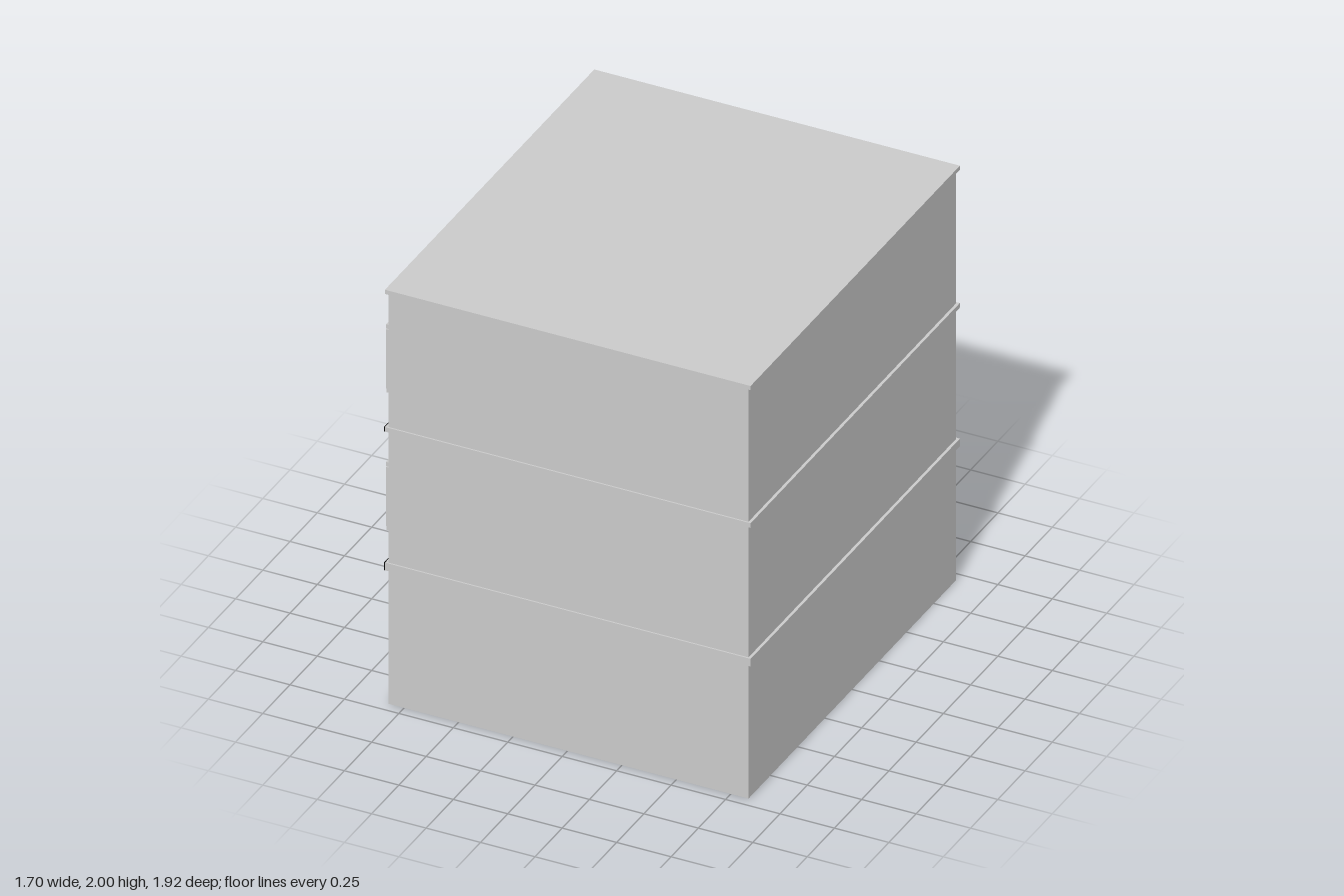
import * as THREE from 'three';

const mat = (name, color) => {
  const m = new THREE.MeshStandardMaterial({ color });
  m.name = name;
  return m;
};

export function createModel() {
  const concrete = mat('concrete', 0xcbcbcb);
  const glass = mat('darkGlass', 0x0a0a0a);
  const wood = mat('wood', 0x77451e);
  const white = mat('interiorWhite', 0xf2f2f2);
  const model = new THREE.Group();
  model.name = 'building';

  // Box from its limits along each axis
  const box = (name, m, [x0, x1], [y0, y1], [z0, z1], parent = model) => {
    const mesh = new THREE.Mesh(new THREE.BoxGeometry(x1 - x0, y1 - y0, z1 - z0), m);
    mesh.position.set((x0 + x1) / 2, (y0 + y1) / 2, (z0 + z1) / 2);
    mesh.name = name;
    parent.add(mesh);
    return mesh;
  };

  // Side profile in x and y, extruded along z
  const profile = (name, m, points, z, width, parent) => {
    const shape = new THREE.Shape(points.map(([x, y]) => new THREE.Vector2(x, y)));
    const geo = new THREE.ExtrudeGeometry(shape, { depth: width, bevelEnabled: false });
    const mesh = new THREE.Mesh(geo, m);
    mesh.position.z = z - width / 2;
    mesh.name = name;
    parent.add(mesh);
  };

  const X0 = -0.82, X1 = 0.832, Z = 0.953;

  // Upper floors and the hollow ground floor
  box('upperFloors', concrete, [X0, X1], [0.62, 1.985], [-Z, Z]);
  box('groundFloorBlock', concrete, [0.49, X1], [0, 0.62], [-Z, Z]);
  box('baseSlab', concrete, [X0, 0.49], [0, 0.004], [-Z, Z]);
  box('doorHeader', concrete, [X0, -0.79], [0.47, 0.62], [-0.19, 0.19]);
  for (const s of [-1, 1]) {
    const span = (a, b) => (s > 0 ? [a, b] : [-b, -a]);
    box('sideWall', concrete, [X0, 0.49], [0.004, 0.62], span(Z - 0.02, Z));
    box('facadeWall', concrete, [X0, -0.79], [0.004, 0.62], span(0.19, Z - 0.02));
    box('interiorSide', white, [-0.79, 0.48], [0.006, 0.62], span(Z - 0.025, Z - 0.02));
  }
  box('interiorFloor', white, [X0, 0.48], [0.004, 0.008], [-0.93, 0.93]);
  box('interiorBack', white, [0.484, 0.49], [0.004, 0.62], [-0.93, 0.93]);

  // Wooden partitions at the back of the hall
  box('partition', wood, [0.455, 0.484], [-0.001, 0.5], [0.19, 0.925]);
  box('partition', wood, [0.455, 0.484], [-0.001, 0.5], [-0.925, -0.105]);

  // Ledges around every floor, with a dark strip along the facade
  for (const [y0, y1] of [[0.645, 0.682], [1.315, 1.337], [1.98, 2]]) {
    box('ledge', concrete, [-0.834, 0.845], [y0, y1], [-0.962, 0.96]);
    if (y1 < 1.9) box('darkLedgeStrip', glass, [-0.838, -0.834], [y0, y1], [-0.96, 0.96]);
  }

  // Door surround and the two open leaves
  box('doorFrameTop', concrete, [-0.835, -0.79], [0.465, 0.512], [-0.235, 0.235]);
  for (const s of [-1, 1]) {
    const z = s > 0 ? [0.183, 0.235] : [-0.235, -0.183];
    box('doorFramePost', concrete, [-0.835, -0.785], [0, 0.465], z);
    const leaf = new THREE.Group();
    leaf.name = 'doorLeaf';
    box('doorPanel', wood, [0, 0.2], [-0.001, 0.46], [-0.01, 0.01], leaf);
    for (const side of [-1, 1]) {
      const knob = new THREE.Mesh(new THREE.SphereGeometry(0.01, 12, 8), glass);
      knob.position.set(0.175, 0.23, side * 0.016);
      knob.name = 'doorKnob';
      leaf.add(knob);
    }
    leaf.position.set(-0.8, 0, s * 0.183);
    leaf.rotation.y = s > 0 ? -0.1 : -0.35;
    model.add(leaf);
  }

  // Window bands of the two upper floors
  for (const y of [0.835, 1.5]) {
    const band = new THREE.Group();
    band.name = 'windowBand';
    band.position.y = y;
    model.add(band);
    box('windowSill', concrete, [-0.832, X0], [0, 0.022], [-0.95, 0.95], band);
    box('windowHead', concrete, [-0.834, X0], [0.308, 0.328], [-0.95, 0.95], band);
    for (const z of [-0.942, 0, 0.942]) {
      box('windowPost', concrete, [-0.831, X0], [0.022, 0.308], [z - 0.014, z + 0.014], band);
    }
    for (const z of [-0.5, 0.5]) {
      box('mainMullion', concrete, [-0.836, X0], [0, 0.325], [z - 0.02, z + 0.02], band);
      profile('upperBracket', concrete,
        [[X0, 0.295], [-0.842, 0.295], [-0.85, 0.328], [X0, 0.328]], z, 0.02, band);
      profile('lowerBracket', concrete,
        [[X0, -0.006], [-0.85, -0.006], [-0.842, 0.03], [X0, 0.03]], z, 0.02, band);
    }
    // Four bays of two panes, each with a thin bar and handle between
    for (let i = 0; i < 4; i++) {
      const zc = -0.714 + i * 0.476;
      box('windowPanes', glass, [-0.824, X0], [0.022, 0.308], [zc - 0.225, zc + 0.225], band);
      box('paneBar', concrete, [-0.829, X0], [0.022, 0.308], [zc - 0.009, zc + 0.009], band);
      profile('paneHandle', concrete,
        [[X0, 0.04], [-0.835, 0.16], [X0, 0.29]], zc, 0.01, band);
    }
  }
  return model;
}
